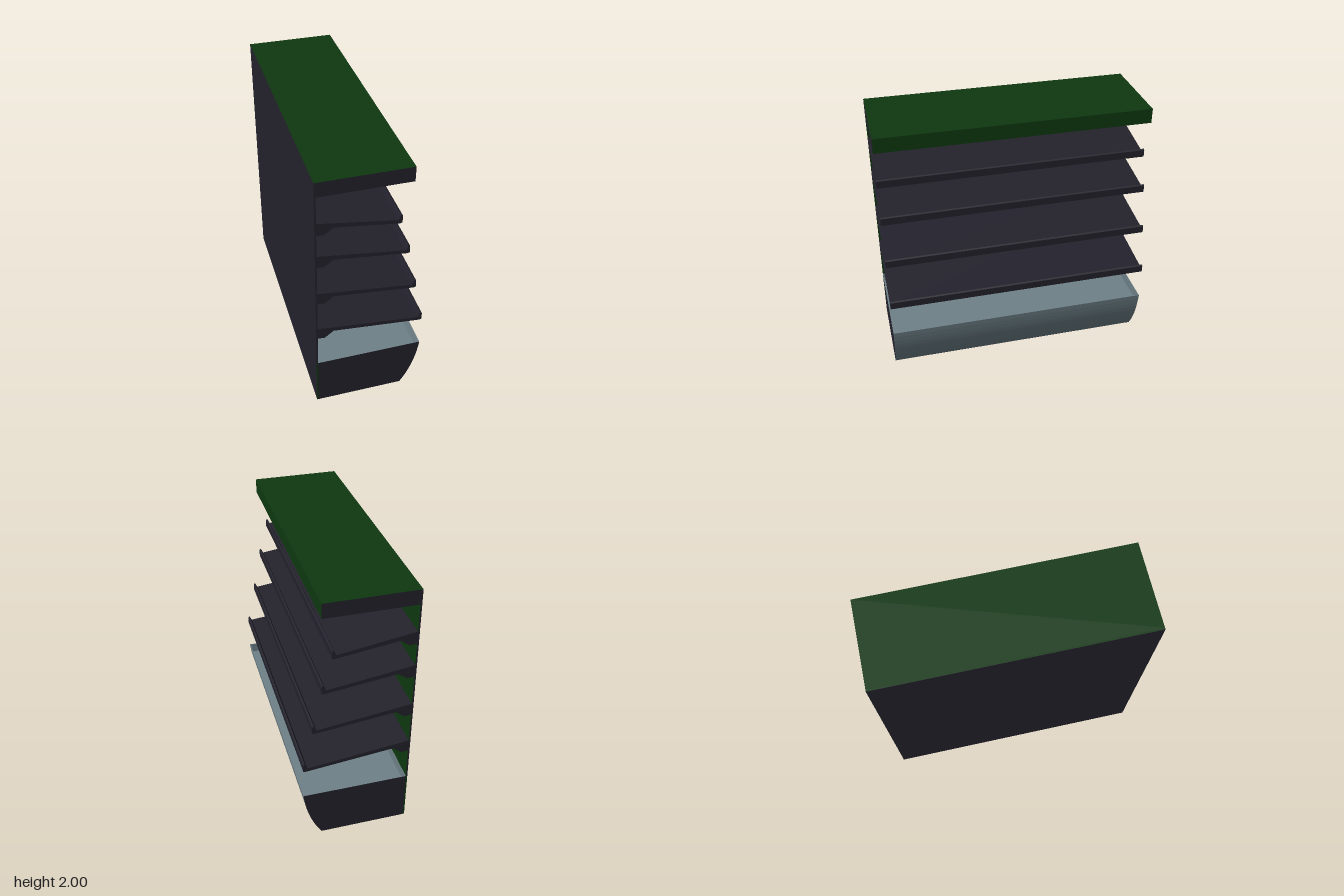
import * as THREE from 'three';

const mat = (name, color) => {
  const m = new THREE.MeshStandardMaterial({ color });
  m.name = name;
  return m;
};

export function createModel() {
  const green = mat('dark green', 0x0e3810);
  const dark = mat('charcoal', 0x23222c);
  const grey = mat('blue grey', 0x6e8188);
  const model = new THREE.Group();

  const add = (name, geometry, material) => {
    const mesh = new THREE.Mesh(geometry, material);
    mesh.name = name;
    model.add(mesh);
    return mesh;
  };
  // box from its minimum and maximum corners
  const box = (name, [x0, y0, z0], [x1, y1, z1], material) =>
    add(name, new THREE.BoxGeometry(x1 - x0, y1 - y0, z1 - z0), material)
      .position.set((x0 + x1) / 2, (y0 + y1) / 2, (z0 + z1) / 2);
  // side profile pulled along z, centred on z
  const extrude = (name, points, length, material, z = 0) => {
    const shape = new THREE.Shape(points.map(([x, y]) => new THREE.Vector2(x, y)));
    const geometry = new THREE.ExtrudeGeometry(shape, { depth: length, bevelEnabled: false });
    geometry.translate(0, 0, z - length / 2);
    return add(name, geometry, material);
  };

  const back = -0.397, wall = -0.385;

  // back panel: green inside, charcoal behind
  box('backPanel', [back, 0.4, -1], [wall, 2, 1], [green, dark, green, dark, dark, dark]);
  box('backPanelBase', [back, 0, -1], [wall, 0.4, 1], [green, dark, dark, dark, green, green]);

  // canopy with charcoal ends
  box('canopy', [wall, 1.89, -1], [0.264, 2, 1], [green, dark, green, green, dark, dark]);

  // sloping shelves with a front lip and a rear bracket
  const shelves = [[1.685, 0.196], [1.415, 0.263], [1.085, 0.329], [0.75, 0.396]];
  for (const [top, front] of shelves) {
    const slope = 0.085 / (front - 0.03 - wall);
    const under = (x) => top - 0.034 - slope * (x - wall);
    extrude('shelf', [
      [wall, top], [front - 0.03, top - 0.085], [front - 0.012, top - 0.047],
      [front, top - 0.053], [front, top - 0.108], [front - 0.013, top - 0.114],
      [-0.268, under(-0.268)], [-0.335, top - 0.1], [wall, top - 0.094],
    ], 2, dark);
  }

  // tub: curved front, recessed floor
  const curve = new THREE.QuadraticBezierCurve(
    new THREE.Vector2(0.262, 0), new THREE.Vector2(0.373, 0.17), new THREE.Vector2(0.397, 0.4));
  const arc = curve.getPoints(10).map((p) => [p.x, p.y]);
  const floorY = 0.32;
  const cut = arc.findIndex((p) => p[1] > floorY);
  const [a, b] = [arc[cut - 1], arc[cut]];
  const edge = [a[0] + (b[0] - a[0]) * (floorY - a[1]) / (b[1] - a[1]), floorY];
  const upper = [edge, ...arc.slice(cut)];

  extrude('tubBody', [[wall, 0], ...arc.slice(0, cut), edge, [wall, floorY]], 2, [dark, grey]);
  box('tubUnderside', [wall, -0.001, -1], [0.262, 0.002, 1], dark);

  // thin walls around the recess
  const inner = upper.map(([x, y]) => [x - 0.006, y]).reverse();
  extrude('tubFrontLip', [...upper, ...inner], 1.988, grey);
  box('tubBackLining', [wall, floorY, -0.994], [wall + 0.003, 0.4, 0.994], grey);
  const endShape = [[wall, floorY], ...upper, [wall, 0.4]];
  for (const side of [-1, 1]) {
    extrude('tubEnd', endShape, 0.003, [dark, grey], side * 0.9985);
    extrude('tubEndLining', endShape, 0.003, grey, side * 0.9955);
  }

  return model;
}
